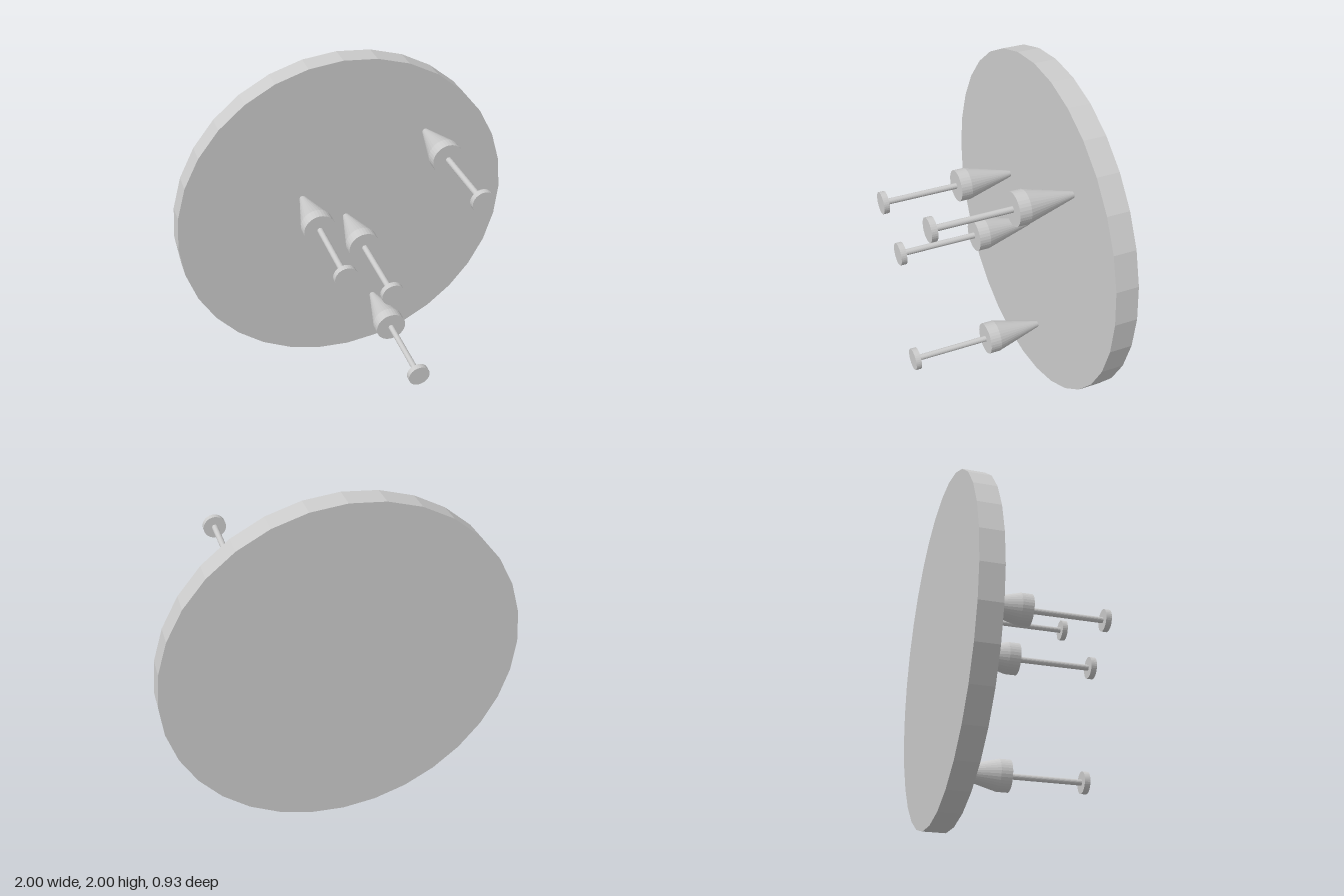
import * as THREE from 'three';

const material = new THREE.MeshStandardMaterial({ color: 0xcccccc, flatShading: true });

// Cylinder along z, from zBack to zFront
function rod(name, rBack, rFront, zBack, zFront) {
  const geo = new THREE.CylinderGeometry(rFront, rBack, zFront - zBack, 32);
  geo.rotateX(Math.PI / 2);
  geo.translate(0, 0, (zBack + zFront) / 2);
  const mesh = new THREE.Mesh(geo, material);
  mesh.name = name;
  return mesh;
}

// One dart, pointing at the board
function createDart(x, y) {
  const dart = new THREE.Group();
  dart.name = 'dart';
  dart.add(
    rod('tip', 0.018, 0.092, -0.337, -0.06),
    rod('barrel', 0.092, 0.092, -0.06, 0.005),
    rod('shaft', 0.017, 0.017, 0.005, 0.43),
    rod('endCap', 0.064, 0.064, 0.43, 0.463)
  );
  dart.position.set(x, y, 0);
  return dart;
}

export function createModel() {
  const model = new THREE.Group();
  model.name = 'dartboardWithDarts';

  // Round board
  const board = rod('board', 1, 1, -0.463, -0.335);
  board.position.y = 1;
  model.add(board);

  // Darts stuck in the board
  for (const [x, y] of [[0, 1], [-0.26, 1.18], [0.49, 1.48], [0.17, 0.36]]) {
    model.add(createDart(x, y));
  }
  return model;
}
